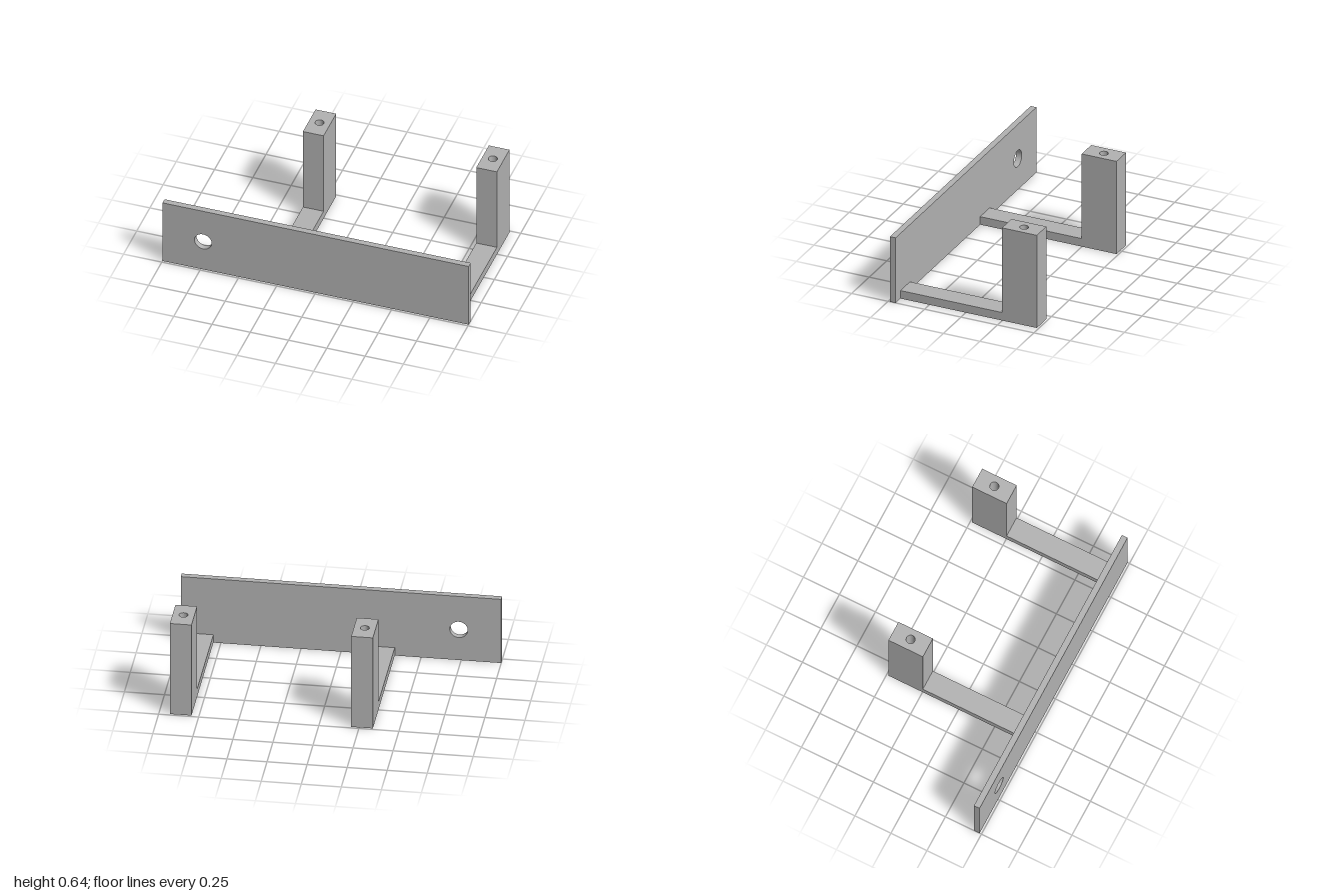
import * as THREE from 'three';

const HALF_DEPTH = 0.487;
const PLATE_BACK = 0.448;
const POST_FRONT = -0.248;
const POST_TOP = 0.64;
const SOCKET_FLOOR = 0.4;
const ARM_TOP = 0.055;
const ARM_WIDTH = 0.135;

// Rectangle with one round hole, extruded along +z
function drilledBlock(x0, y0, x1, y1, holeX, holeY, radius, depth) {
  const shape = new THREE.Shape();
  shape.moveTo(x0, y0).lineTo(x1, y0).lineTo(x1, y1).lineTo(x0, y1).closePath();
  const hole = new THREE.Path();
  hole.absarc(holeX, holeY, radius, 0, Math.PI * 2, true);
  shape.holes.push(hole);
  return new THREE.ExtrudeGeometry(shape, { depth, bevelEnabled: false, curveSegments: 24 });
}

function namedMesh(name, geometry, material) {
  const mesh = new THREE.Mesh(geometry, material);
  mesh.name = name;
  return mesh;
}

// L-shaped arm with an upright post that has a blind hole in its top
function createArm(name, x, material) {
  const arm = new THREE.Group();
  arm.name = name;

  // Side profile drawn in (-z, y), swept across the arm's width
  const profile = new THREE.Shape();
  profile.moveTo(-PLATE_BACK, 0).lineTo(HALF_DEPTH, 0).lineTo(HALF_DEPTH, SOCKET_FLOOR)
    .lineTo(-POST_FRONT, SOCKET_FLOOR).lineTo(-POST_FRONT, ARM_TOP)
    .lineTo(-PLATE_BACK, ARM_TOP).closePath();
  const lower = new THREE.ExtrudeGeometry(profile, { depth: ARM_WIDTH, bevelEnabled: false });
  lower.translate(0, 0, -ARM_WIDTH / 2).rotateY(Math.PI / 2);
  arm.add(namedMesh('armAndLowerPost', lower, material));

  // Drilled upper part of the post
  const half = ARM_WIDTH / 2;
  const upper = drilledBlock(-half, -POST_FRONT, half, HALF_DEPTH,
    0, (HALF_DEPTH - POST_FRONT) / 2, 0.028, POST_TOP - SOCKET_FLOOR);
  upper.rotateX(-Math.PI / 2).translate(0, SOCKET_FLOOR, 0);
  arm.add(namedMesh('drilledPostTop', upper, material));

  arm.position.x = x;
  return arm;
}

export function createModel() {
  const model = new THREE.Group();
  model.name = 'bracket';
  const grey = new THREE.MeshStandardMaterial({ color: 0xb2b2b2 });
  grey.name = 'grey';

  // Front plate with a through hole
  const plate = drilledBlock(-1, 0, 1, 0.45, -0.735, 0.215, 0.056, HALF_DEPTH - PLATE_BACK);
  plate.translate(0, 0, PLATE_BACK);
  model.add(namedMesh('frontPlate', plate, grey));

  // Two matching arms
  model.add(createArm('rightArm', -0.268, grey));
  model.add(createArm('leftArm', 0.864, grey));
  return model;
}
